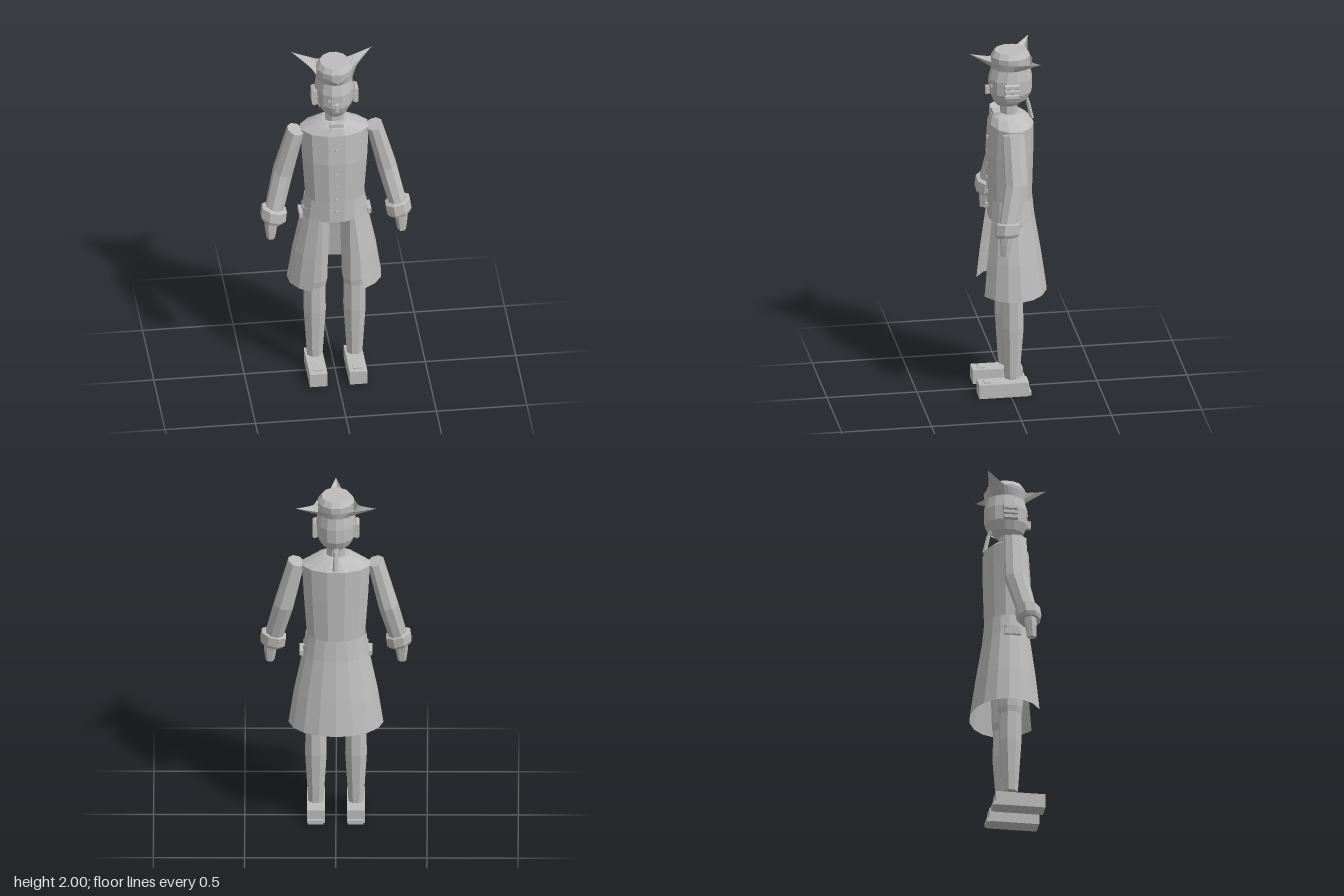
import * as THREE from 'three';

const grey = new THREE.MeshStandardMaterial({ color: 0xbcbcbc, flatShading: true, side: THREE.DoubleSide });
grey.name = 'plain grey';

function add(parent, name, geometry, x = 0, y = 0, z = 0) {
  const mesh = new THREE.Mesh(geometry, grey);
  mesh.name = name;
  mesh.position.set(x, y, z);
  parent.add(mesh);
  return mesh;
}

const box = (w, h, d) => new THREE.BoxGeometry(w, h, d);

// Skin through rows of points, listed from bottom to top.
function skin(rows, closed, caps) {
  const pos = [], n = rows[0].length;
  const tri = (a, b, c) => pos.push(...a, ...b, ...c);
  for (let i = 0; i < rows.length - 1; i++) {
    for (let j = 0; j < (closed ? n : n - 1); j++) {
      const k = (j + 1) % n;
      tri(rows[i][j], rows[i][k], rows[i + 1][k]);
      tri(rows[i][j], rows[i + 1][k], rows[i + 1][j]);
    }
  }
  if (caps) {
    const low = rows[0], top = rows[rows.length - 1];
    for (let j = 1; j < n - 1; j++) {
      tri(low[0], low[j + 1], low[j]);
      tri(top[0], top[j], top[j + 1]);
    }
  }
  const g = new THREE.BufferGeometry();
  g.setAttribute('position', new THREE.Float32BufferAttribute(pos, 3));
  g.computeVertexNormals();
  return g;
}

// Elliptical ring; tilt raises its +x side.
function ring([x, y, z, rx, rz, tilt = 0], n, from, to) {
  const open = from !== undefined, pts = [];
  for (let j = 0; j < (open ? n + 1 : n); j++) {
    const a = open ? from + (to - from) * j / n : (j + 0.5) / n * Math.PI * 2;
    const dx = Math.sin(a) * rx;
    pts.push([x + dx, y + tilt * dx, z + Math.cos(a) * rz]);
  }
  return pts;
}
const loft = (rings, n = 8) => skin(rings.map(r => ring(r, n)), true, true);
const openLoft = (rings, n, from, to) => skin(rings.map(r => ring(r, n, from, to)), false, false);

function buildHead(group) {
  const head = new THREE.Group();
  head.name = 'head';
  group.add(head);
  add(head, 'neck', loft([[0, 1.6, -0.01, 0.055, 0.05], [0, 1.7, -0.01, 0.055, 0.05]]));
  add(head, 'face', loft([
    [0, 1.68, -0.005, 0.05, 0.06], [0, 1.71, -0.01, 0.078, 0.09], [0, 1.76, -0.015, 0.1, 0.117],
    [0, 1.84, -0.015, 0.105, 0.118], [0, 1.92, -0.02, 0.092, 0.1],
  ], 12));
  add(head, 'hair', openLoft([
    [0, 1.715, -0.015, 0.085, 0.1], [0, 1.76, -0.015, 0.106, 0.123],
    [0, 1.84, -0.015, 0.111, 0.125], [0, 1.92, -0.02, 0.097, 0.106],
  ], 8, Math.PI * 0.42, Math.PI * 1.58));
  add(head, 'nose', box(0.024, 0.045, 0.03), 0, 1.772, 0.105);
  for (const s of [-1, 1]) {
    add(head, 'eye', box(0.02, 0.014, 0.008), s * 0.04, 1.807, 0.093);
    // Rolled side curls
    for (const y of [1.765, 1.793, 1.821]) {
      const g = new THREE.CylinderGeometry(0.017, 0.017, 0.08, 6).rotateX(Math.PI / 2);
      add(head, 'sideCurl', g, s * 0.114, y, -0.01);
    }
  }
  add(head, 'ponytail', loft([
    [0, 1.59, -0.137, 0.018, 0.013], [0, 1.69, -0.115, 0.012, 0.012], [0, 1.72, -0.1, 0.02, 0.016],
  ], 6));

  // Hat crown, and a brim folded up into three points
  add(head, 'hatCrown', loft([
    [0, 1.9, -0.02, 0.097, 0.105], [0, 1.97, -0.02, 0.102, 0.109], [0, 2, -0.02, 0.08, 0.09],
  ], 12));
  const base = [], rim = [], n = 36;
  for (let j = 0; j < n; j++) {
    const a = j / n * Math.PI * 2;
    const third = Math.PI * 2 / 3;
    const t = Math.abs(a / third - Math.round(a / third)) * 2;
    const w = Math.pow(1 - t, 5);
    const r = 0.115 + w * (Math.cos(a) > 0.5 ? 0.118 : 0.14);
    base.push([Math.sin(a) * 0.1, 1.905, -0.02 + Math.cos(a) * 0.108]);
    rim.push([Math.sin(a) * r, 1.945 + 0.042 * w, -0.025 + Math.cos(a) * r]);
  }
  add(head, 'hatBrim', skin([base, rim], true, false));
}

function buildCoat(group) {
  const coat = new THREE.Group();
  coat.name = 'coat';
  group.add(coat);
  add(coat, 'jacket', loft([
    [0, 1.02, -0.013, 0.162, 0.121], [0, 1.15, -0.013, 0.165, 0.123], [0, 1.4, -0.013, 0.183, 0.13],
    [0, 1.58, -0.02, 0.192, 0.125], [0, 1.62, -0.01, 0.11, 0.098], [0, 1.635, -0.01, 0.07, 0.075],
  ], 12));
  // Skirt, open at the front
  const gap = Math.PI * 0.18;
  add(coat, 'coatSkirt', openLoft([
    [0, 0.6, -0.02, 0.262, 0.198], [0, 0.8, -0.017, 0.232, 0.172],
    [0, 1.03, -0.014, 0.185, 0.137], [0, 1.15, -0.013, 0.168, 0.126],
  ], 14, gap, Math.PI * 2 - gap));
  add(coat, 'cravat', box(0.075, 0.045, 0.04), 0, 1.622, 0.06);
  for (let i = 0; i < 6; i++) add(coat, 'button', box(0.016, 0.016, 0.012), 0, 1.09 + i * 0.08, 0.109);
  for (const s of [-1, 1]) add(coat, 'pocketFlap', box(0.02, 0.03, 0.09), s * 0.189, 1.035, -0.01);
}

function buildLimbs(group, s, side) {
  const arm = new THREE.Group(), leg = new THREE.Group();
  arm.name = side + 'Arm';
  leg.name = side + 'Leg';
  group.add(arm, leg);
  const t = s * 0.26;

  add(arm, 'sleeve', loft([
    [s * 0.345, 1.08, 0.048, 0.05, 0.055, t], [s * 0.287, 1.31, -0.005, 0.055, 0.066, t],
    [s * 0.217, 1.58, 0, 0.046, 0.064, t],
  ]));
  add(arm, 'cuff', loft([
    [s * 0.352, 1.032, 0.058, 0.058, 0.06, t], [s * 0.348, 1.05, 0.055, 0.072, 0.07, t],
    [s * 0.34, 1.105, 0.048, 0.072, 0.07, t], [s * 0.338, 1.112, 0.046, 0.055, 0.058, t],
  ]));
  add(arm, 'hand', loft([
    [s * 0.362, 0.928, 0.069, 0.024, 0.026], [s * 0.36, 1, 0.064, 0.035, 0.034],
    [s * 0.357, 1.05, 0.058, 0.04, 0.04, t],
  ], 6));

  add(leg, 'breeches', loft([
    [s * 0.108, 0.56, -0.01, 0.062, 0.062], [s * 0.108, 0.6, -0.01, 0.07, 0.069],
    [s * 0.105, 1.08, -0.01, 0.08, 0.085],
  ]));
  add(leg, 'stocking', loft([
    [s * 0.11, 0.1, -0.01, 0.045, 0.042], [s * 0.11, 0.4, -0.012, 0.064, 0.064],
    [s * 0.11, 0.58, -0.01, 0.061, 0.061],
  ]));
  add(leg, 'shoe', box(0.098, 0.08, 0.276), s * 0.11, 0.04, 0.04);
  add(leg, 'heel', box(0.085, 0.025, 0.02), s * 0.11, 0.0125, -0.102);
  add(leg, 'buckle', box(0.052, 0.012, 0.038), s * 0.11, 0.081, 0.128);
}

export function createModel() {
  const group = new THREE.Group();
  group.name = 'gentleman';
  buildHead(group);
  buildCoat(group);
  buildLimbs(group, 1, 'left');
  buildLimbs(group, -1, 'right');
  return group;
}
